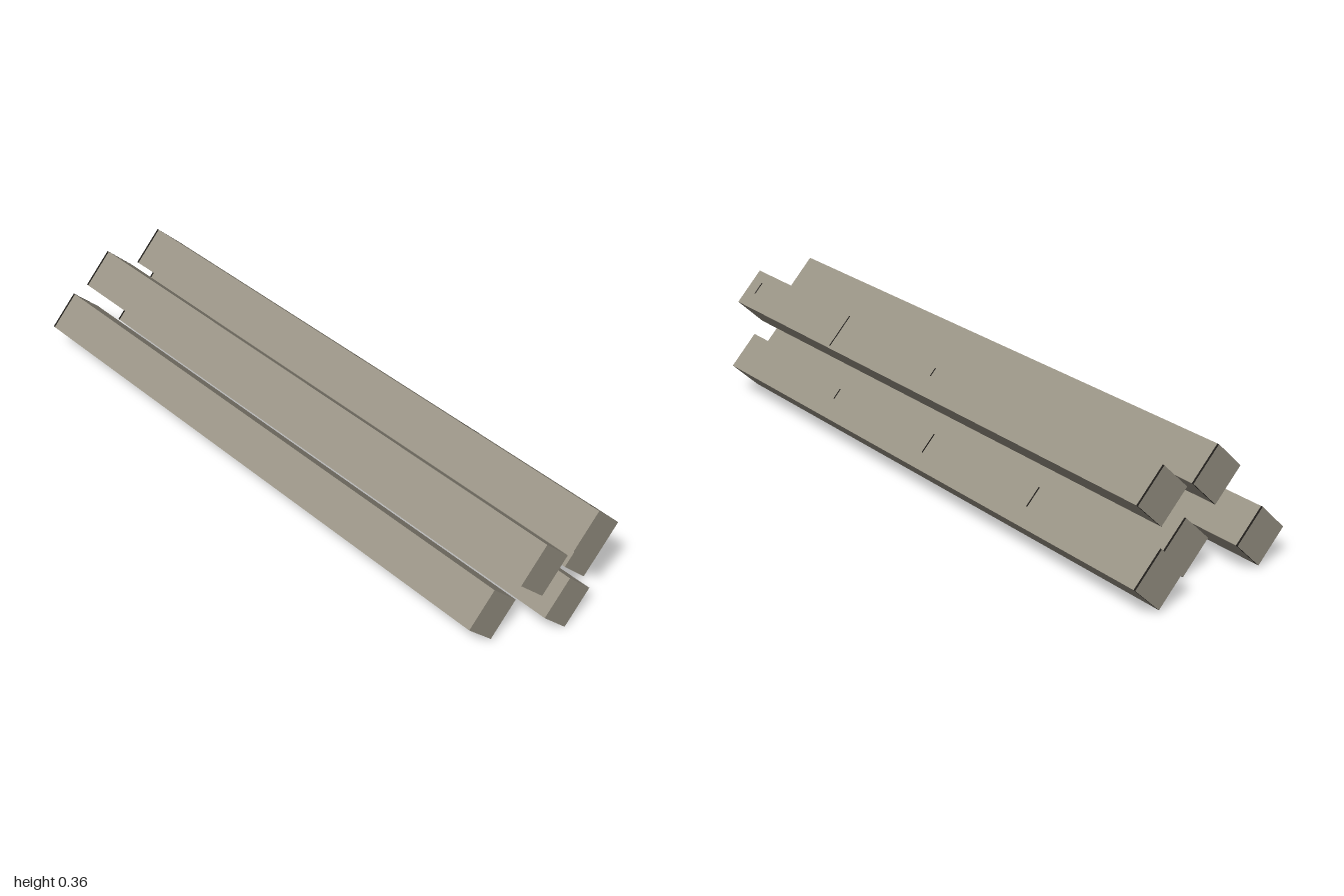
import * as THREE from 'three';

export function createModel() {
  const group = new THREE.Group();
  group.name = 'barStack';
  const stone = new THREE.MeshStandardMaterial({ color: 0x999385 });
  stone.name = 'greyBrown';
  const dark = new THREE.MeshStandardMaterial({ color: 0x1e1c19 });
  dark.name = 'nearBlack';

  // Square bar, half diagonal just under 0.09, with a thin dark rim at its back end
  const side = 0.0895 * Math.SQRT2;
  const length = 1.905;
  const rimDepth = 0.006;
  const bodyShape = new THREE.BoxGeometry(side, side, length - rimDepth).translate(0, 0, rimDepth / 2);
  const rimShape = new THREE.BoxGeometry(side, side, rimDepth).translate(0, 0, (rimDepth - length) / 2);
  const rimMaterials = [dark, dark, dark, dark, stone, stone];

  function add(parent, name, geometry, material) {
    const mesh = new THREE.Mesh(geometry, material);
    mesh.name = name;
    parent.add(mesh);
    return mesh;
  }

  // Fine dark crack on the upper left face: z, lowest and highest point above the bar's centre
  function addCrack(bar, z, low, high) {
    const crack = add(bar, 'crack', new THREE.BoxGeometry(0.001, (high - low) * Math.SQRT2, 0.004), dark);
    crack.position.set(side / 2, ((low + high) / 2) * Math.SQRT2 - side / 2, z - bar.position.z);
  }

  // name, x, y, z of each bar's centre and its cracks: alternate bars are shifted along z
  const shift = 0.0475;
  const bars = [
    ['lowerRightBar', -0.188, 0.099, -shift, []],
    ['lowerMiddleBar', 0.004, 0.0895, shift, []],
    ['lowerLeftBar', 0.188, 0.099, -shift, [[0.39, 0.045, 0.07], [-0.07, 0.035, 0.08], [-0.53, 0.04, 0.085]]],
    ['upperRightBar', -0.106, 0.273, shift, []],
    ['upperLeftBar', 0.096, 0.273, shift, [[0.95, 0.035, 0.065], [0.48, 0.005, 0.085], [0.02, 0.045, 0.065]]],
  ];
  for (const [name, x, y, z, cracks] of bars) {
    const bar = new THREE.Group();
    bar.name = name;
    bar.position.set(x, y, z);
    bar.rotation.z = Math.PI / 4;
    add(bar, 'body', bodyShape, stone);
    add(bar, 'backRim', rimShape, rimMaterials);
    for (const [cz, low, high] of cracks) addCrack(bar, cz, low, high);
    group.add(bar);
  }
  return group;
}
